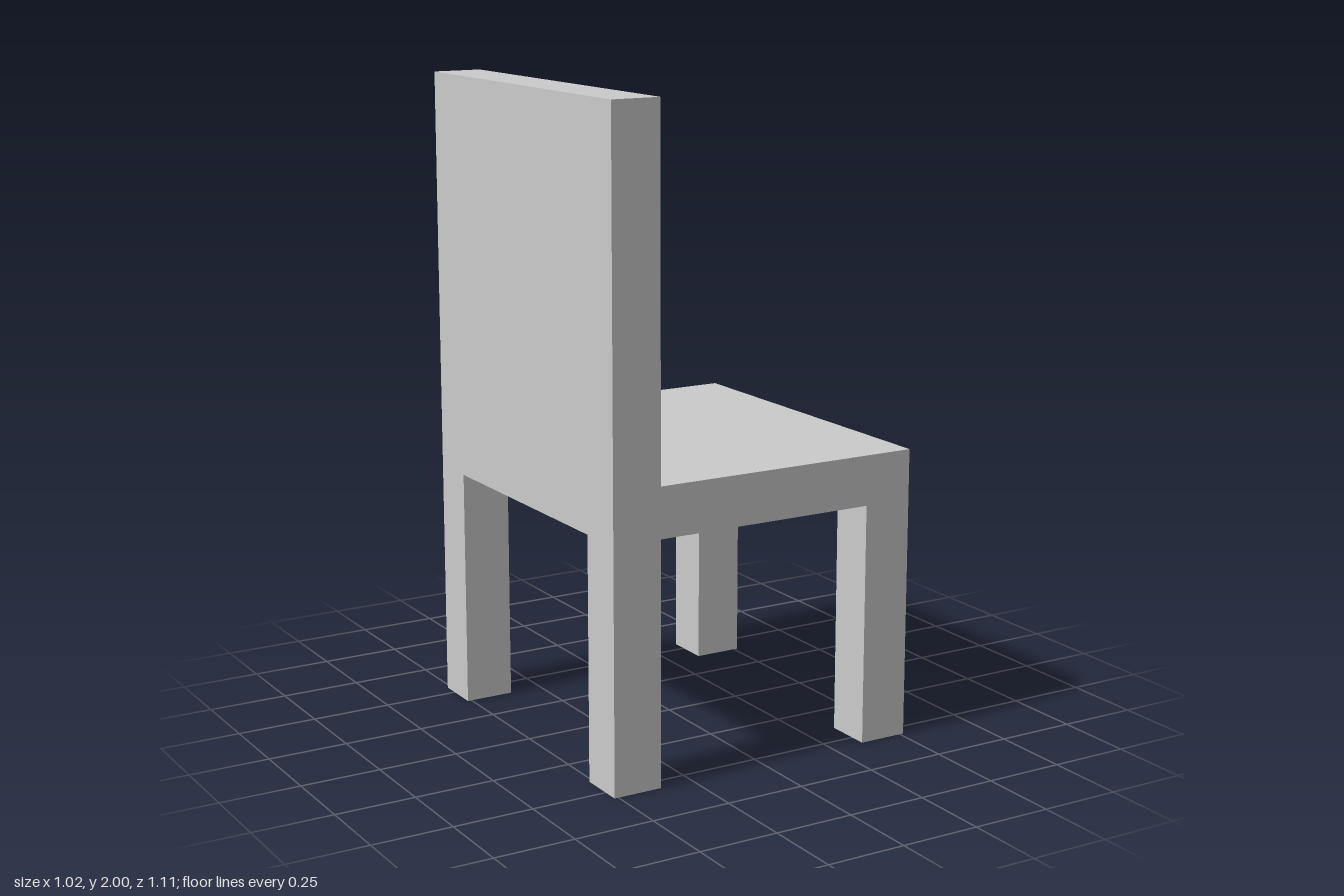
import * as THREE from 'three';

const WIDTH = 1.025, DEPTH = 1.105, HEIGHT = 2;
const SEAT_BOTTOM = 0.75, SEAT_TOP = 0.905;
const THICK_X = 0.155, THICK_Z = 0.15;

export function createModel() {
  const chair = new THREE.Group();
  chair.name = 'chair';
  const material = new THREE.MeshStandardMaterial({ color: 0xcccccc, flatShading: true });

  // Box standing on height y
  function addBox(name, w, h, d, x, y, z) {
    const mesh = new THREE.Mesh(new THREE.BoxGeometry(w, h, d), material);
    mesh.name = name;
    mesh.position.set(x, y + h / 2, z);
    chair.add(mesh);
  }

  const legX = (WIDTH - THICK_X) / 2;
  const legZ = (DEPTH - THICK_Z) / 2;

  // Seat slab
  addBox('seat', WIDTH, SEAT_TOP - SEAT_BOTTOM, DEPTH, 0, SEAT_BOTTOM, 0);

  // Backrest along the -x edge; the chair opens towards +x
  addBox('backrest', THICK_X, HEIGHT - SEAT_TOP, DEPTH, -legX, SEAT_TOP, 0);

  // Four corner legs
  for (const [row, sx] of [['seatEdge', 1], ['backrest', -1]]) {
    for (const [end, sz] of [['Front', 1], ['Rear', -1]]) {
      addBox(`${row}${end}Leg`, THICK_X, SEAT_BOTTOM, THICK_Z, sx * legX, 0, sz * legZ);
    }
  }

  return chair;
}
